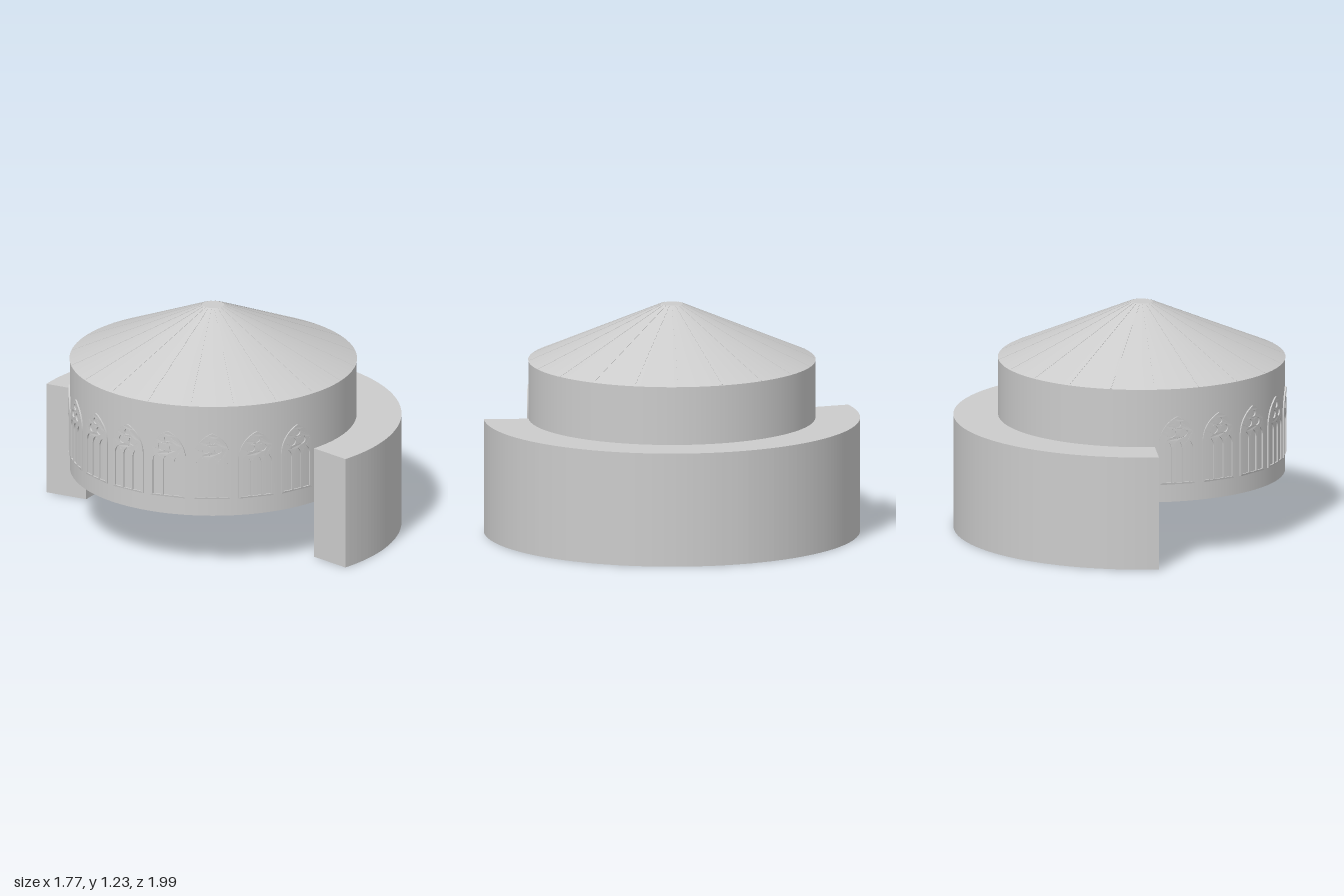
import * as THREE from 'three';

const CX = -0.12;        // axis of the rotunda
const R = 0.762;         // drum radius
const DEG = Math.PI / 180;

// Pointed arch outline: half width w, straight sides up to spring, arch rise h
function lancet(PathType, cx, w, y0, spring, h) {
  const r = (h * h + w * w) / (2 * w);
  const a = Math.asin(h / r);
  const p = new PathType();
  p.moveTo(cx - w, y0);
  p.lineTo(cx + w, y0);
  p.lineTo(cx + w, spring);
  p.absarc(cx + w - r, spring, r, 0, a, false);
  p.absarc(cx - w + r, spring, r, Math.PI - a, Math.PI, false);
  p.closePath();
  return p;
}

// Tracery window, bent around the drum wall
function windowGeometry() {
  const shape = lancet(THREE.Shape, 0, 0.098, 0, 0.225, 0.145);
  for (const x of [-0.059, 0, 0.059]) {
    shape.holes.push(lancet(THREE.Path, x, 0.024, 0.01, 0.195, 0.045));
  }
  for (const [x, y, r] of [[-0.032, 0.28, 0.022], [0.032, 0.28, 0.022], [0, 0.327, 0.018]]) {
    shape.holes.push(new THREE.Path().absarc(x, y, r, 0, Math.PI * 2, true));
  }
  const g = new THREE.ExtrudeGeometry(shape, { depth: 0.016, bevelEnabled: false, curveSegments: 10 });
  const pos = g.attributes.position;
  for (let i = 0; i < pos.count; i++) {
    const a = pos.getX(i) / R;
    const r = R - 0.008 + pos.getZ(i);
    pos.setXYZ(i, r * Math.sin(a), pos.getY(i), r * Math.cos(a));
  }
  g.computeVertexNormals();
  return g;
}

// Curved outer wing, an open ring that wraps part of the drum
function wingGeometry() {
  const start = (9 - 90) * DEG, end = (206.8 - 90) * DEG;
  const s = new THREE.Shape();
  s.absarc(0, 0, 1, start, end, false);
  s.absarc(0, 0, R, end, start, true);
  s.closePath();
  const g = new THREE.ExtrudeGeometry(s, { depth: 0.612, bevelEnabled: false, curveSegments: 56 });
  return g.rotateX(-Math.PI / 2);
}

export function createModel() {
  const group = new THREE.Group();
  const mat = new THREE.MeshStandardMaterial({ color: 0xcccccc });
  const add = (name, geo, y = 0, ry = 0) => {
    const m = new THREE.Mesh(geo, mat);
    m.name = name;
    m.position.set(CX, y, 0);
    m.rotation.y = ry;
    group.add(m);
    return m;
  };

  add('outerWing', wingGeometry());

  // Raised drum with a closed underside
  const bottom = 0.31, eave = 0.925, top = 1.228, topR = 0.057;
  add('drum', new THREE.CylinderGeometry(R, R, eave - bottom, 100), (eave + bottom) / 2);

  // Conical roof, cut flat at the crown
  add('roof', new THREE.CylinderGeometry(topR, R + 0.002, top - eave, 100), (eave + top) / 2);

  // Thin roof ribs, nearly flush with the slope
  const run = R - topR, rise = top - eave;
  const rib = new THREE.BoxGeometry(Math.hypot(run, rise) - 0.01, 0.004, 0.006);
  rib.rotateZ(-Math.atan2(rise, run));
  rib.translate((R + topR) / 2, (eave + top) / 2, 0);
  for (let i = 0; i < 20; i++) add('roofRib', rib, 0, (9 + 18 * i) * DEG);

  // Nine tracery windows around the exposed side
  const win = windowGeometry();
  for (let i = 0; i < 9; i++) add('traceryWindow', win, 0.405, -18 * i * DEG);

  return group;
}
